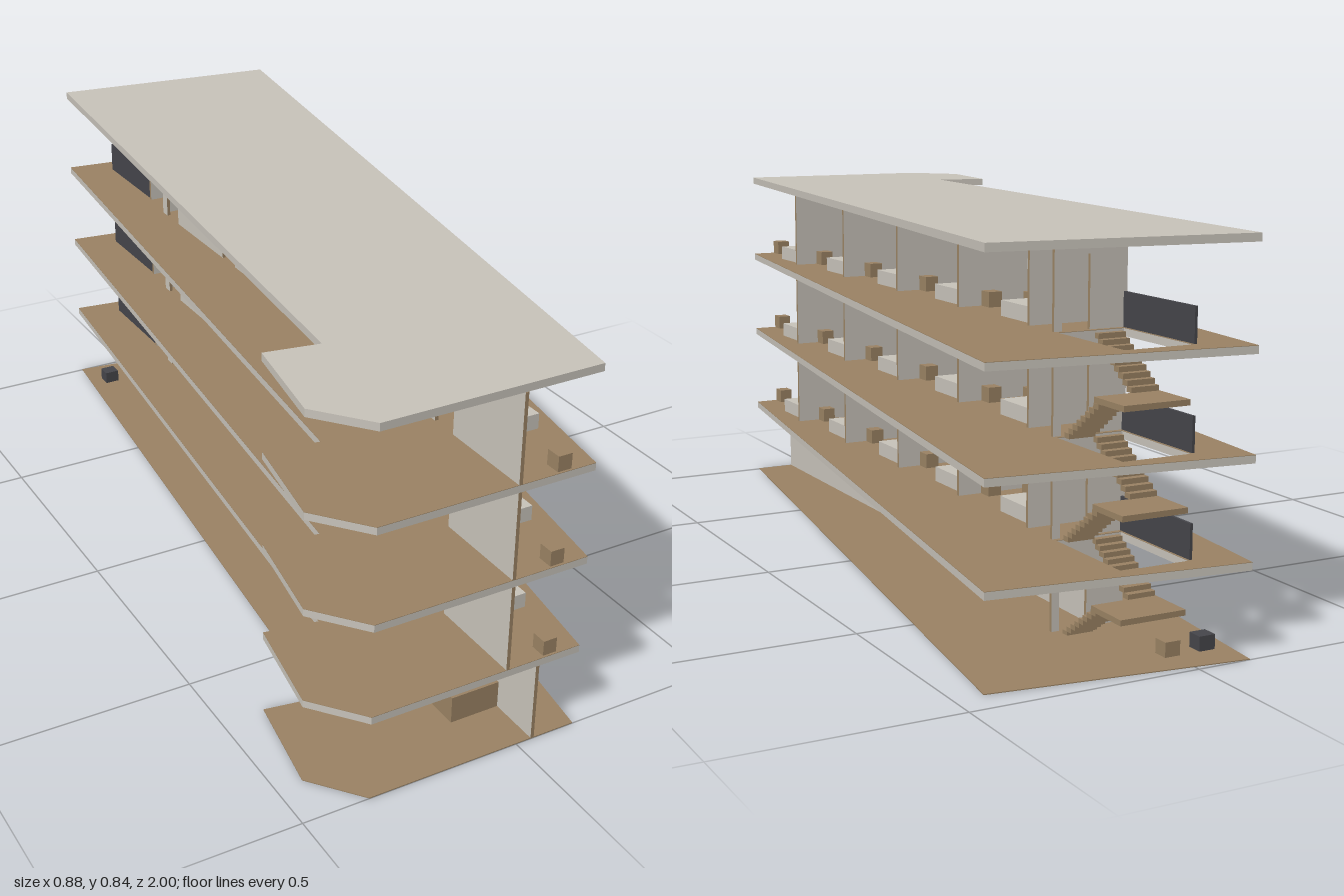
import * as THREE from 'three';

const mat = (name, color, side = THREE.FrontSide) => {
  const m = new THREE.MeshStandardMaterial({ color, side });
  m.name = name;
  return m;
};

export function createModel() {
  const stone = mat('stone', 0xc9c4bb);
  const wood = mat('wood', 0x9b8364);
  const dark = mat('charcoal', 0x46464b);
  const building = new THREE.Group();
  building.name = 'building';

  const add = (name, geometry, material, parent = building) => {
    const mesh = new THREE.Mesh(geometry, material);
    mesh.name = name;
    parent.add(mesh);
    return mesh;
  };
  // box given by its extents along each axis
  const box = (name, [x0, x1], [y0, y1], [z0, z1], material, parent) => {
    const g = new THREE.BoxGeometry(x1 - x0, y1 - y0, z1 - z0);
    g.translate((x0 + x1) / 2, (y0 + y1) / 2, (z0 + z1) / 2);
    return add(name, g, material, parent);
  };

  // wall with door notches and wood coloured edges; axis is 'x' or 'z'
  const T = 0.008;
  const wall = (name, axis, at, [a, b], y, height, doors, parent) => {
    const pts = [[a, 0]];
    for (const [d0, d1, h] of doors) pts.push([d0, 0], [d0, h], [d1, h], [d1, 0]);
    pts.push([b, 0], [b, height], [a, height]);
    const shape = new THREE.Shape(pts.map(p => new THREE.Vector2(...p)));
    const g = new THREE.ExtrudeGeometry(shape, { depth: T, bevelEnabled: false });
    g.translate(0, 0, -T / 2);
    if (axis === 'z') g.rotateY(-Math.PI / 2);
    g.translate(axis === 'z' ? at : 0, y, axis === 'x' ? at : 0);
    return add(name, g, [stone, wood], parent);
  };

  // floor outline and stairwell opening (x, z)
  const outline = [[-0.12, -1], [0.436, -0.935], [0.142, 1], [-0.35, 1],
    [-0.44, 0.89], [-0.402, 0.655], [-0.282, 0.675]];
  const well = [[-0.015, -0.69], [0.14, -0.69], [0.14, -0.935], [-0.015, -0.935]];
  const vectors = list => list.map(p => new THREE.Vector2(...p));
  const plate = (name, top, depth, open, material, parent) => {
    const shape = new THREE.Shape(vectors(outline));
    if (open) shape.holes.push(new THREE.Path(vectors(well)));
    const g = new THREE.ExtrudeGeometry(shape, { depth, bevelEnabled: false });
    g.rotateX(Math.PI / 2);
    g.translate(0, top, 0);
    return add(name, g, material, parent);
  };

  const levels = [0.198, 0.411, 0.624];
  const SLAB = 0.017, ROOF = 0.838;

  // slabs: ground sheet, three floors with a wood finish, roof
  plate('groundFloor', 0.002, 0.002, false, wood);
  for (const y of levels) {
    plate('floorSlab', y - 0.001, SLAB - 0.001, true, stone);
    plate('floorFinish', y, 0.001, true, wood);
  }
  plate('roofSlab', ROOF, SLAB, false, stone);

  // ground floor walls and reception furniture
  const groundTop = levels[0] - SLAB;
  wall('groundLongWall', 'z', 0.04, [-0.675, 1], 0, groundTop, []);
  wall('groundStairWall', 'x', -0.675, [-0.028, 0.143], 0, groundTop, [[0.06, 0.125, 0.15]]);
  box('groundPier', [-0.06, -0.035], [0, groundTop], [-0.494, -0.486], stone);
  box('groundLintel', [-0.12, -0.06], [0.15, groundTop], [-0.494, -0.486], stone);
  box('receptionDesk', [-0.08, 0.036], [0, 0.064], [0.81, 0.88], wood);
  box('rearStool', [-0.01, 0.025], [0, 0.033], [-0.92, -0.885], wood);
  box('rearSeat', [-0.093, -0.056], [0, 0.033], [-0.92, -0.885], dark);

  // upper storeys: five equal rooms opening on a corridor
  const PITCH = 0.315;
  for (const y of levels) {
    const storey = new THREE.Group();
    storey.name = 'upperStorey';
    building.add(storey);
    const h = 0.213 - SLAB;
    const doors = [];
    for (let i = 4; i >= 0; i--) {
      const start = 1 - i * PITCH;
      doors.push([start - 0.29, start - 0.225, 0.153]);
    }
    wall('corridorWall', 'z', -0.034, [1 - 5 * PITCH, 1], y, h, doors, storey);
    wall('stairWall', 'x', -0.675, [-0.028, 0.143], y, h, [[0.06, 0.125, 0.153]], storey);
    for (let i = 0; i < 5; i++) {
      const s = 1 - i * PITCH, up = [y, y + 0.034];
      wall('roomPartition', 'x', s - PITCH, [-0.03, 0.143], y, h, [], storey);
      box('bed', [0.018, 0.125], up, [s - 0.306, s - 0.165], stone, storey);
      box('chair', [0.055, 0.087], up, [s - 0.04, s - 0.005], wood, storey);
      if (i > 0) {
        box('cabinet', [-0.02, 0.012], up, [s - 0.085, s - 0.06], wood, storey);
        box('cabinet', [-0.02, 0.012], up, [s - 0.11, s - 0.086], wood, storey);
      }
    }
    box('stairBalustrade', [-0.025, -0.019], [y, y + 0.073], [-0.932, -0.68], dark, storey);
  }

  // half-turn stairs: flight out, landing, flight back
  const STEPS = 9;
  [0, levels[0], levels[1]].forEach((y, k) => {
    const stairs = new THREE.Group();
    stairs.name = 'stairs';
    building.add(stairs);
    const half = (levels[k] - y) / 2, rise = half / (STEPS + 0.5), run = 0.0155;
    for (let i = 0; i < STEPS; i++) {
      const lowY = y + i * rise, highY = y + half + i * rise;
      const outZ = -0.695 - i * run, backZ = -0.828 + i * run;
      box('lowerStep', [0.064, 0.126], [lowY, lowY + rise], [outZ - run * 1.2, outZ], wood, stairs);
      box('upperStep', [-0.01, 0.054], [highY, highY + rise], [backZ, backZ + run * 1.2], wood, stairs);
    }
    box('landing', [-0.012, 0.138], [y + half - 0.012, y + half], [-0.933, -0.825], wood, stairs);
  });

  return building;
}
